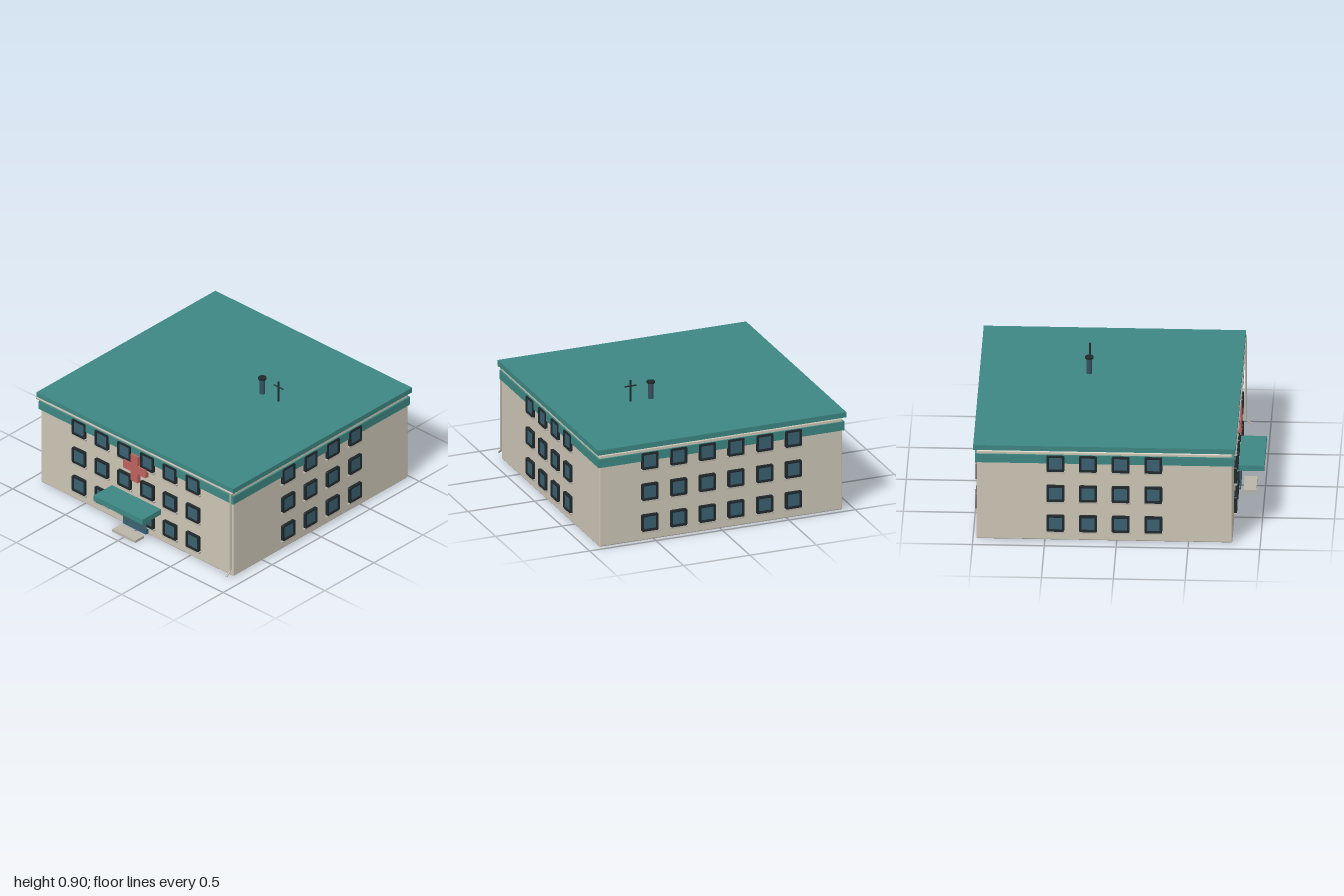
import * as THREE from 'three';
import { RoundedBoxGeometry } from 'three/addons/geometries/RoundedBoxGeometry.js';

const mat = (color) => new THREE.MeshStandardMaterial({ color });
const M = {
  wall: mat(0xcbc5b5), teal: mat(0x3d8783), glass: mat(0x3a6070), frame: mat(0x20282c),
  red: mat(0xbe625e), stone: mat(0xbab4a8), flue: mat(0x35505f), lamp: mat(0xc9a868),
};
const MID_Z = -0.085; // the building sits behind the origin, the porch in front

function add(parent, name, geometry, material, x = 0, y = 0, z = 0) {
  const mesh = new THREE.Mesh(geometry, material);
  mesh.name = name;
  mesh.position.set(x, y, z);
  parent.add(mesh);
  return mesh;
}
const box = (w, h, d) => new THREE.BoxGeometry(w, h, d);
const cyl = (r, h, n = 20) => new THREE.CylinderGeometry(r, r, h, n);

function roundedRect(target, w, h, r) {
  const x = w / 2, y = h / 2;
  target.moveTo(-x + r, -y);
  target.lineTo(x - r, -y).quadraticCurveTo(x, -y, x, -y + r);
  target.lineTo(x, y - r).quadraticCurveTo(x, y, x - r, y);
  target.lineTo(-x + r, y).quadraticCurveTo(-x, y, -x, y - r);
  target.lineTo(-x, -y + r).quadraticCurveTo(-x, -y, -x + r, -y);
  return target;
}
function ring(outer, inner, depth) {
  const shape = roundedRect(new THREE.Shape(), outer, outer, 0.01);
  shape.holes.push(roundedRect(new THREE.Path(), inner, inner, 0.005));
  return new THREE.ExtrudeGeometry(shape, { depth, bevelEnabled: false, curveSegments: 3 });
}

const frameGeo = ring(0.124, 0.1, 0.022);
const sashGeo = ring(0.104, 0.09, 0.017);
const paneGeo = box(0.1, 0.1, 0.016);
const sillGeo = box(0.134, 0.012, 0.022);

// One window, facing +z, with its back on the wall plane
function makeWindow() {
  const w = new THREE.Group();
  w.name = 'window';
  add(w, 'windowFrame', frameGeo, M.frame, 0, 0, -0.002);
  add(w, 'windowSash', sashGeo, M.frame);
  add(w, 'windowPane', paneGeo, M.glass, 0, 0, 0.006);
  add(w, 'windowSill', sillGeo, M.stone, 0, -0.068, 0.009);
  return w;
}

// A wall's grid of three storeys of windows
function makeWindows(name, columns, spacing, offset) {
  const g = new THREE.Group();
  g.name = name;
  for (const y of [0.14, 0.371, 0.603]) {
    for (let i = 0; i < columns; i++) {
      const w = makeWindow();
      w.position.set((i - (columns - 1) / 2) * spacing + offset, y, 0);
      g.add(w);
    }
  }
  return g;
}

export function createModel() {
  const model = new THREE.Group();
  model.name = 'building';

  // Walls, trim band and roof slab
  add(model, 'walls', new RoundedBoxGeometry(1.83, 0.685, 1.78, 3, 0.01), M.wall, 0, 0.348, MID_Z);
  add(model, 'roofNeck', box(1.79, 0.03, 1.74), M.wall, 0, 0.692, MID_Z);
  add(model, 'trimBand', box(1.852, 0.064, 1.802), M.teal, 0, 0.635, MID_Z);
  add(model, 'roof', box(1.87, 0.038, 1.825), M.teal, 0, 0.721, MID_Z);

  // Windows on all four walls
  const front = makeWindows('frontWindows', 6, 0.216, 0);
  front.position.z = MID_Z + 0.89;
  const back = makeWindows('backWindows', 6, 0.216, 0);
  back.position.z = MID_Z - 0.89;
  back.rotation.y = Math.PI;
  model.add(front, back);
  for (const s of [-1, 1]) {
    const side = makeWindows(s > 0 ? 'leftWindows' : 'rightWindows', 4, 0.227, 0);
    side.position.set(s * 0.915, 0, MID_Z);
    side.rotation.y = s * Math.PI / 2;
    model.add(side);
  }

  // Entrance: door, canopy, step and lamp
  add(model, 'door', box(0.22, 0.21, 0.035), M.glass, 0, 0.125, 0.815);
  add(model, 'canopy', box(0.467, 0.042, 0.19), M.teal, 0, 0.249, 0.905);
  add(model, 'step', box(0.22, 0.02, 0.09), M.stone, 0, 0.01, 0.895);
  add(model, 'lamp', cyl(0.013, 0.035), M.lamp, 0, 0.212, 0.935);
  add(model, 'lampRim', cyl(0.015, 0.008), M.frame, 0, 0.19, 0.935);

  // Red cross on the front wall
  const a = 0.033, b = 0.107;
  const cross = new THREE.Shape([
    [-a, -b], [a, -b], [a, -a], [b, -a], [b, a], [a, a],
    [a, b], [-a, b], [-a, a], [-b, a], [-b, -a], [-a, -a],
  ].map(([x, y]) => new THREE.Vector2(x, y)));
  add(model, 'cross', new THREE.ExtrudeGeometry(cross, { depth: 0.03, bevelEnabled: false }), M.red, 0, 0.513, 0.804);

  // Gutter along the front eave, and the downpipe with its spout
  add(model, 'gutter', cyl(0.009, 1.865, 12), M.stone, 0, 0.697, 0.827).rotation.z = Math.PI / 2;
  const pipe = new THREE.CurvePath();
  const pts = [[0.695, 0.828], [0.06, 0.828], [0.03, 0.868]].map(([y, z]) => new THREE.Vector3(0.908, y, z));
  pipe.add(new THREE.LineCurve3(pts[0], pts[1]));
  pipe.add(new THREE.LineCurve3(pts[1], pts[2]));
  const pipeMat = M.stone.clone();
  pipeMat.side = THREE.DoubleSide;
  add(model, 'downpipe', new THREE.TubeGeometry(pipe, 60, 0.007, 10), pipeMat);

  // Chimney and aerial on the roof
  add(model, 'chimney', cyl(0.019, 0.13), M.flue, 0.222, 0.795, -0.235);
  add(model, 'chimneyCap', cyl(0.029, 0.014), M.frame, 0.222, 0.863, -0.235);
  add(model, 'aerialMast', cyl(0.007, 0.165, 12), M.frame, 0.375, 0.815, -0.235);
  add(model, 'aerialBar', cyl(0.005, 0.085, 10), M.frame, 0.375, 0.855, -0.235).rotation.z = Math.PI / 2;

  return model;
}
